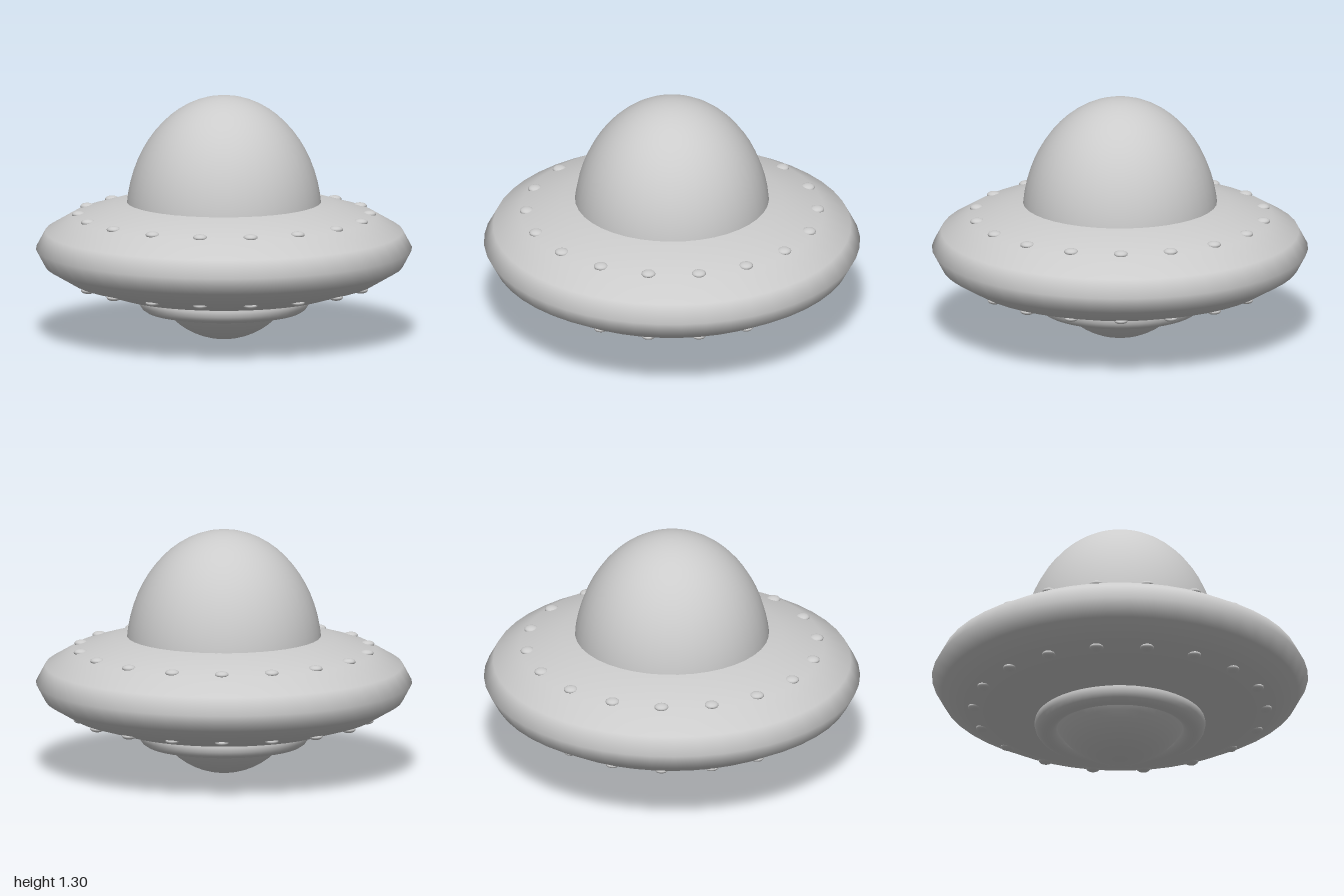
import * as THREE from 'three';

const HULL_Y = 0.485;

export function createModel() {
  const group = new THREE.Group();
  const material = new THREE.MeshStandardMaterial({ color: 0xcccccc });

  const add = (name, geometry, y, parent = group) => {
    const mesh = new THREE.Mesh(geometry, material);
    mesh.name = name;
    mesh.position.y = y;
    parent.add(mesh);
    return mesh;
  };

  // Saucer hull: flattened sphere with few height rings for a crisp rim
  add('hull', new THREE.SphereGeometry(1, 48, 10).scale(1, 0.297, 1), HULL_Y);

  // Tall cockpit dome, its open base buried in the hull
  add('dome', new THREE.SphereGeometry(1, 40, 16, 0, Math.PI * 2, 0, Math.PI / 2)
    .scale(0.521, 0.655, 0.521), 0.65);

  // Rounded collar under the hull
  add('lowerRing', new THREE.TorusGeometry(0.39, 0.065, 16, 48).rotateX(Math.PI / 2), 0.21);

  // Belly bulb: lower half of a sphere
  add('bellyBulb', new THREE.SphereGeometry(0.393, 40, 14, 0, Math.PI * 2, Math.PI / 2, Math.PI / 2), 0.393);

  // Two rings of flattened lights, above and below the rim
  const lightGeometry = new THREE.SphereGeometry(0.038, 16, 10).scale(1, 0.48, 1);
  const count = 18;
  for (const side of [1, -1]) {
    const ring = new THREE.Group();
    ring.name = side > 0 ? 'upperLights' : 'lowerLights';
    group.add(ring);
    for (let i = 0; i < count; i++) {
      const a = (i / count) * Math.PI * 2;
      const light = add('light', lightGeometry, HULL_Y + side * 0.183, ring);
      light.position.x = Math.cos(a) * 0.771;
      light.position.z = Math.sin(a) * 0.771;
      light.rotation.y = -a;
    }
  }

  return group;
}
